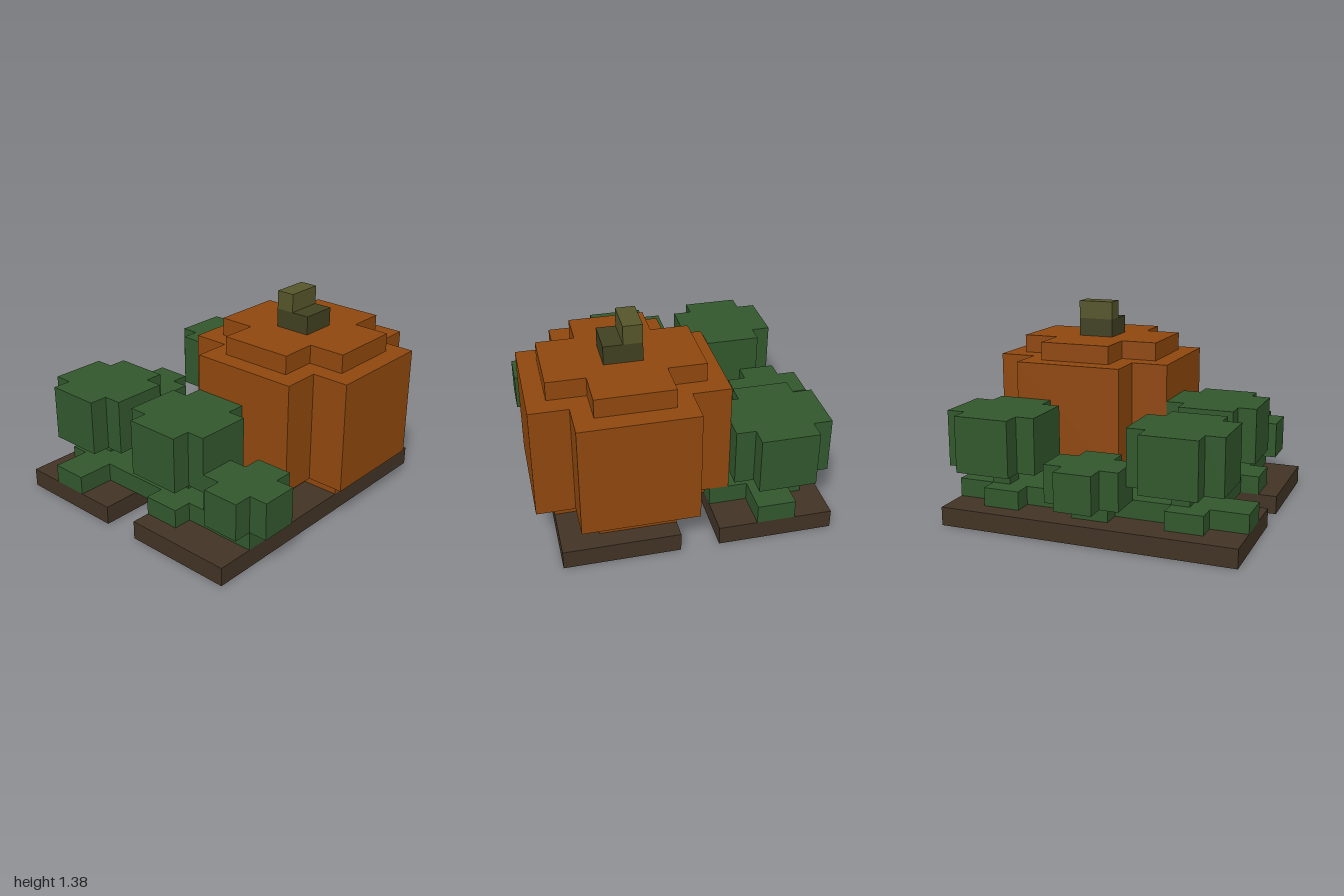
import * as THREE from 'three';

const U = 0.125; // one block

const mat = (name, color) => {
  const m = new THREE.MeshStandardMaterial({ color });
  m.name = name;
  return m;
};

// Upright prism from a plan outline of [x, z] block corners, between heights y0 and y1
function prism(name, outline, y0, y1, material) {
  const shape = new THREE.Shape(outline.map(([x, z]) => new THREE.Vector2(x * U, -z * U)));
  const geo = new THREE.ExtrudeGeometry(shape, { depth: (y1 - y0) * U, bevelEnabled: false });
  geo.rotateX(-Math.PI / 2);
  geo.translate(0, y0 * U, 0);
  const mesh = new THREE.Mesh(geo, material);
  mesh.name = name;
  return mesh;
}

const rect = (x0, x1, z0, z1) => [[x0, z0], [x1, z0], [x1, z1], [x0, z1]];

// Plus-shaped outline: wide bar x0..x1 by c..d, long bar a..b by z0..z1
const plus = (x0, x1, z0, z1, a, b, c, d) => [
  [a, z0], [b, z0], [b, c], [x1, c], [x1, d], [b, d],
  [b, z1], [a, z1], [a, d], [x0, d], [x0, c], [a, c],
];

export function createModel() {
  const soil = mat('soil brown', 0x413324);
  const leaf = mat('leaf green', 0x31572c);
  const rind = mat('pumpkin orange', 0x8f470e);
  const stemLight = mat('stem olive', 0x55552b);
  const stemDark = mat('stem dark olive', 0x404022);

  const model = new THREE.Group();
  model.name = 'pumpkinPatch';

  // Soil slab with a notch in each side
  model.add(prism('soil', [
    [-8, -7], [8, -7], [8, -1], [3, -1], [3, 1], [8, 1], [8, 7],
    [-8, 7], [-8, 1], [-3, 1], [-3, -1], [-8, -1],
  ], 0, 1, soil));

  // Pumpkin: narrow foot, wide body, narrow crown
  const pumpkin = new THREE.Group();
  pumpkin.name = 'pumpkin';
  const narrow = plus(-1, 7, -1, 7, 1, 5, 1, 5);
  pumpkin.add(
    prism('pumpkinFoot', narrow, 1, 2, rind),
    prism('pumpkinBody', plus(-2, 8, -2, 8, 0, 6, 0, 6), 2, 8, rind),
    prism('pumpkinCrown', narrow, 8, 9, rind),
    prism('stemBase', rect(2, 4, 2, 4), 9, 10, stemDark),
    prism('stemTip', rect(2, 4, 2, 3), 10, 11, stemLight),
  );
  model.add(pumpkin);

  // Low foliage on the soil
  const ground = [
    plus(-8, -2, -6, -1, -6, -4, -5, -3),
    plus(2, 8, -6, -1, 4, 6, -5, -3),
    plus(-2, 2, -6, 0, -1, 1, -5, -3),
    plus(-7, -2, -1, 7, -6, -4, 1, 3),
  ];
  ground.forEach((outline) => model.add(prism('groundFoliage', outline, 1, 2, leaf)));

  // Tall leaves on short stalks, by stalk corner
  for (const [x, z] of [[-5, -5], [5, -5], [-5, 1]]) {
    const plant = new THREE.Group();
    plant.name = 'tallLeaf';
    plant.add(
      prism('stalk', rect(x, x + 1, z, z + 1), 2, 3, leaf),
      prism('canopy', plus(x - 2, x + 3, z - 2, z + 3, x - 1, x + 2, z - 1, z + 2), 3, 6, leaf),
    );
    model.add(plant);
  }

  // Small bushes, by centre
  for (const [x, z] of [[0, -6], [-5, 6]]) {
    model.add(prism('smallBush', plus(x - 2, x + 2, z - 2, z + 2, x - 1, x + 1, z - 1, z + 1), 2, 4, leaf));
  }

  return model;
}
